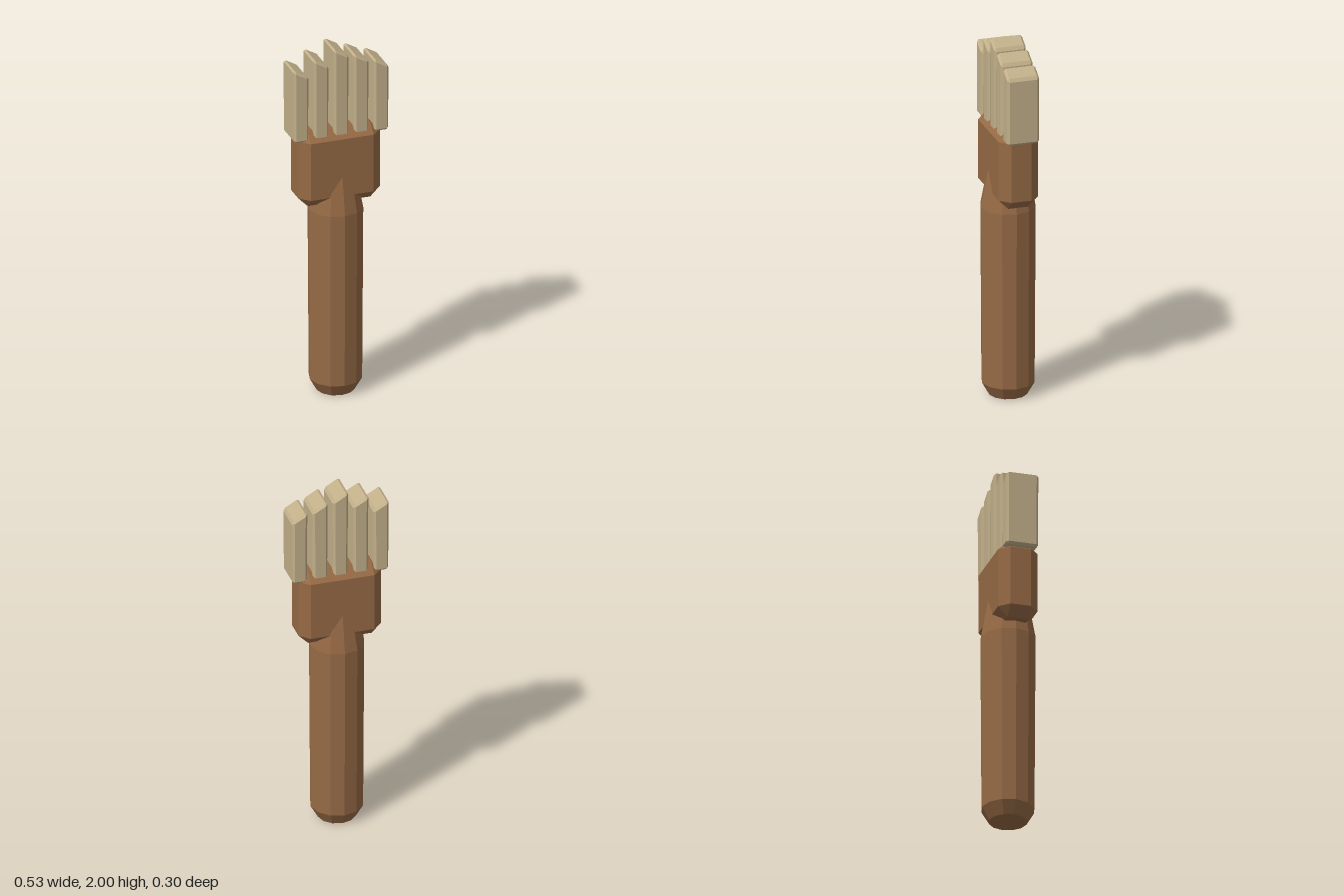
import * as THREE from 'three';
import { ConvexGeometry } from 'three/addons/geometries/ConvexGeometry.js';

// Box with chamfered edges and corners; warp may move each corner point.
function chamferedBox(hx, hy, hz, b, warp = (p) => p) {
  const points = [];
  for (const x of [-1, 1]) for (const y of [-1, 1]) for (const z of [-1, 1]) {
    points.push(
      warp(new THREE.Vector3(x * hx, y * (hy - b), z * (hz - b))),
      warp(new THREE.Vector3(x * (hx - b), y * hy, z * (hz - b))),
      warp(new THREE.Vector3(x * (hx - b), y * (hy - b), z * hz)),
    );
  }
  return new ConvexGeometry(points);
}

export function createModel() {
  const group = new THREE.Group();
  const wood = new THREE.MeshStandardMaterial({ color: 0x966a45, flatShading: true });
  wood.name = 'brown wood';
  const straw = new THREE.MeshStandardMaterial({ color: 0xc2b08a, flatShading: true });
  straw.name = 'pale bristle';

  const add = (name, geometry, material, x, y, z) => {
    const mesh = new THREE.Mesh(geometry, material);
    mesh.name = name;
    mesh.position.set(x, y, z);
    group.add(mesh);
  };

  // Twelve-sided handle, tapering up into the head
  const profile = [[0, 0], [0.103, 0], [0.143, 0.07], [0.149, 1.06], [0.102, 1.31], [0, 1.31]]
    .map(([r, y]) => new THREE.Vector2(r, y));
  add('handle', new THREE.LatheGeometry(profile, 12), wood, -0.003, 0, -0.002);

  // Chamfered block that holds the bristles
  add('head', chamferedBox(0.228, 0.218, 0.109, 0.053), wood, -0.003, 1.326, -0.002);

  // Five flat bristle tufts with slanted tops, tallest in the middle
  const bottom = 1.496;
  for (let i = -2; i <= 2; i++) {
    const top = 1.984 - 0.045 * Math.abs(i);
    const half = (top - bottom) / 2;
    const slant = (p) => {
      if (p.y > 0) p.y -= 0.57 * p.x;
      else p.x *= 0.93;
      return p;
    };
    add(`bristle${i + 3}`, chamferedBox(0.0425, half, 0.088, 0.012, slant), straw,
      i * 0.112, bottom + half, -0.001);
  }
  return group;
}
